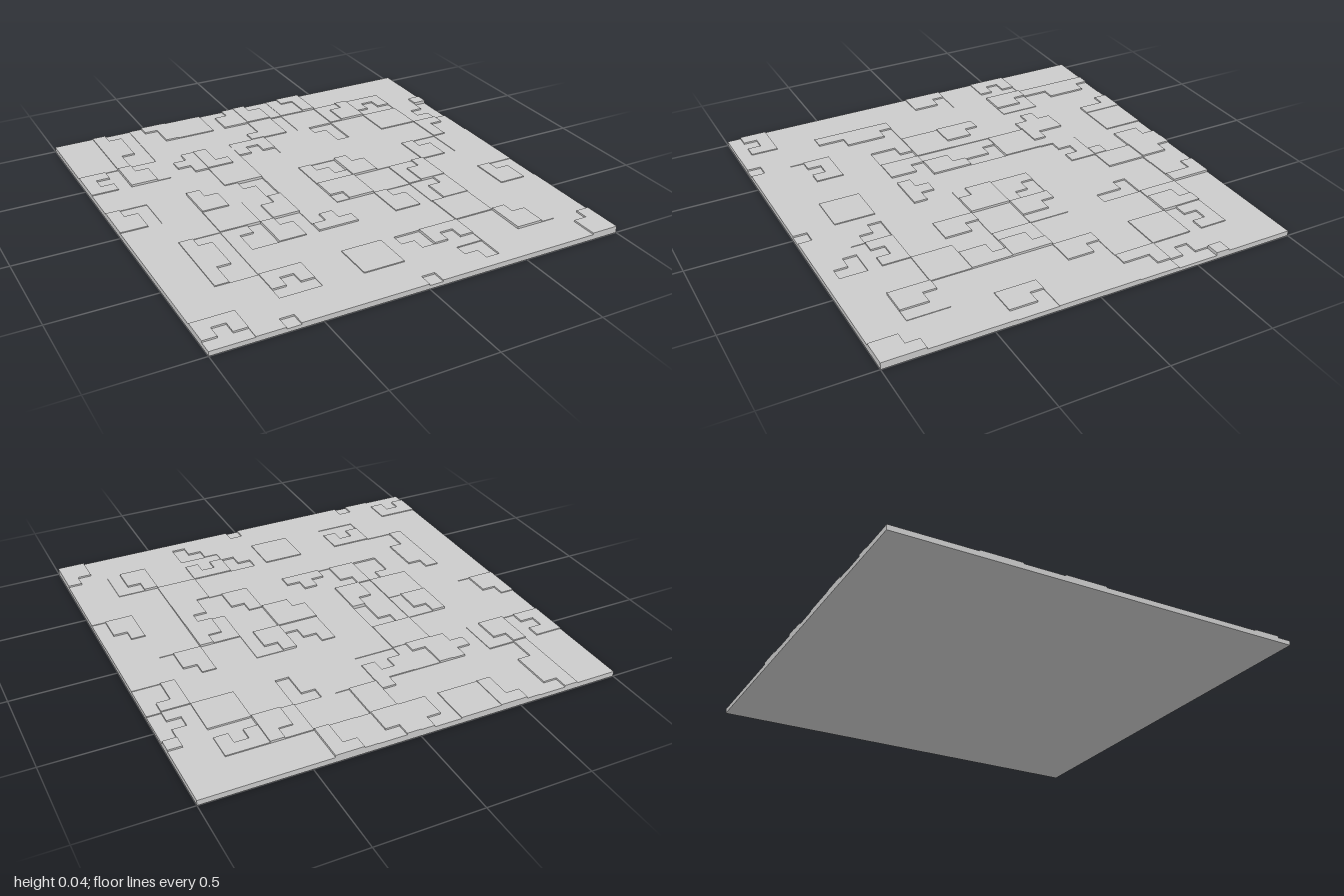
import * as THREE from 'three';

const TILES = 10, SUB = 3, N = TILES * SUB, CELL = 2 / N;
const LEVELS = [0.014, 0.02, 0.025, 0.03, 0.036];
const STEP = 0.008;

// Second piece of each notched tile, as a 3 x 3 mask (rows run back to front)
const CUTS = {
  A: ['011', '001', '001'], B: ['001', '011', '011'], C: ['001', '011', '001'],
  D: ['011', '011', '001'], T: ['000', '010', '111'], S: ['011', '001', '000'],
  R: ['000', '000', '001'], L: ['000', '000', '100'], V: ['001', '001', '001'],
};
// One letter per tile: capital = second piece sunk, small = raised, dot = plain
const LAYOUT = [
  '.Aa.bAa...', '.B..rV.bTr', 'CAcDT.A..C', '.........B', 'A.AA.SA.A.',
  '...b.L.b..', '.ABAt.Ab.A', '.B........', '..T..SA.A.'.replace('SA', 'ST'), 'TR...LS..b',
];
// Height level of each tile's main piece
const HEIGHT = [
  '2323243222', '2322232332', '3424322232', '2223222223', '3242234232',
  '2232242322', '2323223223', '2322222322', '2232323242', '3222222222',
];

function heightAt(i, j) {
  if (i < 0 || j < 0 || i >= N || j >= N) return 0;
  const tx = Math.floor(i / SUB), tz = Math.floor(j / SUB);
  const base = LEVELS[+HEIGHT[tz][tx]], code = LAYOUT[tz][tx];
  const cut = CUTS[code.toUpperCase()];
  if (!cut || cut[j % SUB][i % SUB] === '0') return base;
  return code === code.toUpperCase() ? base - STEP : Math.min(base + STEP, LEVELS[4]);
}

// Flat quads, corners counter-clockwise from outside
function quadMesh(name, quads, material) {
  const pos = [];
  for (const [a, b, c, d] of quads) pos.push(...a, ...b, ...c, ...a, ...c, ...d);
  const geo = new THREE.BufferGeometry();
  geo.setAttribute('position', new THREE.Float32BufferAttribute(pos, 3));
  geo.computeVertexNormals();
  const mesh = new THREE.Mesh(geo, material);
  mesh.name = name;
  return mesh;
}

export function createModel() {
  const group = new THREE.Group();
  group.name = 'panelledFloor';
  const material = new THREE.MeshStandardMaterial({ color: 0xcccccc, flatShading: true });
  const tops = [], walls = [];

  for (let j = 0; j < N; j++) {
    for (let i = 0; i < N; i++) {
      const h = heightAt(i, j);
      const x0 = -1 + i * CELL, x1 = x0 + CELL, z0 = -1 + j * CELL, z1 = z0 + CELL;
      tops.push([[x0, h, z0], [x0, h, z1], [x1, h, z1], [x1, h, z0]]);
      // Side walls down to any lower neighbour, or to the ground at the rim
      const sides = [
        [1, 0, x1, z1, x1, z0], [-1, 0, x0, z0, x0, z1],
        [0, 1, x0, z1, x1, z1], [0, -1, x1, z0, x0, z0],
      ];
      for (const [dx, dz, ax, az, bx, bz] of sides) {
        const low = heightAt(i + dx, j + dz);
        if (low < h - 1e-6) walls.push([[ax, low, az], [bx, low, bz], [bx, h, bz], [ax, h, az]]);
      }
    }
  }

  group.add(quadMesh('panelTops', tops, material));
  group.add(quadMesh('panelSides', walls, material));
  group.add(quadMesh('underside', [[[-1, 0, -1], [1, 0, -1], [1, 0, 1], [-1, 0, 1]]], material));
  return group;
}
